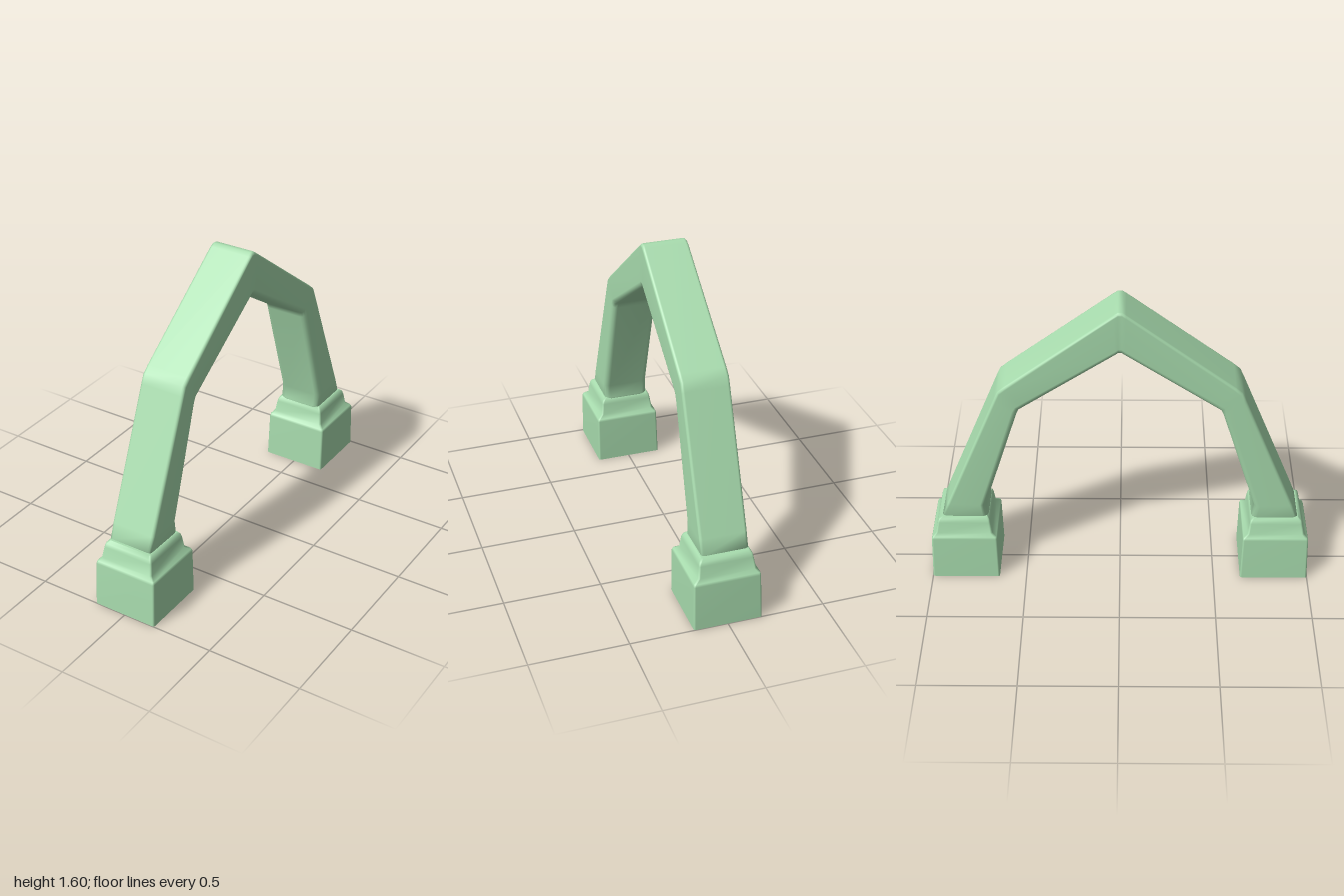
import * as THREE from 'three';

const material = new THREE.MeshStandardMaterial({ color: 0xa8dcae, side: THREE.DoubleSide });

// Rounded rectangle as counter-clockwise [u, v] points; rMax / rMin round the +u / -u corners
function section(u0, u1, v0, v1, rMax, rMin = rMax, steps = 3) {
  const corners = [[u1, v1, rMax, 1, 1], [u0, v1, rMin, -1, 1], [u0, v0, rMin, -1, -1], [u1, v0, rMax, 1, -1]];
  const points = [];
  corners.forEach(([u, v, r, su, sv], k) => {
    for (let i = 0; i <= steps; i++) {
      const a = (k + i / steps) * Math.PI / 2;
      points.push([u - su * r + r * Math.cos(a), v - sv * r + r * Math.sin(a)]);
    }
  });
  return points;
}

// Smooth skin through rings of equal point count
function loft(rings, capEnd) {
  const n = rings[0].length;
  const positions = rings.flat(2);
  const index = [];
  for (let i = 0; i < rings.length - 1; i++) {
    for (let j = 0; j < n; j++) {
      const a = i * n + j, b = i * n + (j + 1) % n;
      index.push(a, b, b + n, a, b + n, a + n);
    }
  }
  if (capEnd) {
    const s = (rings.length - 1) * n;
    for (let j = 1; j < n - 1; j++) index.push(s, s + j, s + j + 1);
  }
  const g = new THREE.BufferGeometry();
  g.setAttribute('position', new THREE.Float32BufferAttribute(positions, 3));
  g.setIndex(index);
  g.computeVertexNormals();
  return g;
}

// Arch beam: each station is outer z, outer y, inner z, inner y, x min, x max
function archGeometry() {
  const half = [
    [0.89, 0.34, 0.70, 0.34, -0.11, 0.10],
    [0.93, 0.375, 0.69, 0.37, -0.125, 0.115],
    [0.90, 0.45, 0.70, 0.44, -0.127, 0.117],
    [0.63, 1.105, 0.52, 1.01, -0.128, 0.117],
    [0.61, 1.15, 0.505, 1.04, -0.128, 0.117],
    [0.575, 1.18, 0.475, 1.06, -0.128, 0.117],
    [0.03, 1.59, 0.025, 1.358, -0.12, 0.117],
    [0.01, 1.603, 0.008, 1.37, -0.118, 0.117],
  ];
  const mirrored = half.map(([oz, oy, iz, iy, a, b]) => [-oz, oy, -iz, iy, a, b]).reverse();
  const rings = [...half, ...mirrored].map(([oz, oy, iz, iy, x0, x1]) => {
    const depth = Math.hypot(oz - iz, oy - iy);
    const dz = (oz - iz) / depth, dy = (oy - iy) / depth;
    return section(0, depth, x0, x1, 0.015, 0.03).map(([u, v]) => [v, iy + dy * u, iz + dz * u]);
  });
  return loft(rings, false);
}

// Stepped plinth, open underneath: each level is y, z min, z max, x min, x max
function plinthGeometry(side) {
  const levels = [
    [0, 0.643, 1.0, -0.178, 0.175],
    [0.245, 0.648, 0.993, -0.17, 0.175],
    [0.258, 0.652, 0.988, -0.167, 0.17],
    [0.275, 0.674, 0.97, -0.152, 0.145],
    [0.335, 0.682, 0.958, -0.142, 0.138],
    [0.355, 0.687, 0.952, -0.137, 0.132],
    [0.368, 0.698, 0.935, -0.125, 0.12],
  ];
  const rings = levels.map(([y, z0, z1, x0, x1]) => {
    const [a, b] = side > 0 ? [z0, z1] : [-z1, -z0];
    return section(a, b, x0, x1, 0.01).map(([u, v]) => [v, y, u]);
  });
  return loft(rings, true);
}

export function createModel() {
  const model = new THREE.Group();
  model.name = 'archway';
  const add = (name, geometry) => {
    const mesh = new THREE.Mesh(geometry, material);
    mesh.name = name;
    model.add(mesh);
  };
  add('archBeam', archGeometry());
  add('frontPlinth', plinthGeometry(1));
  add('backPlinth', plinthGeometry(-1));
  return model;
}
